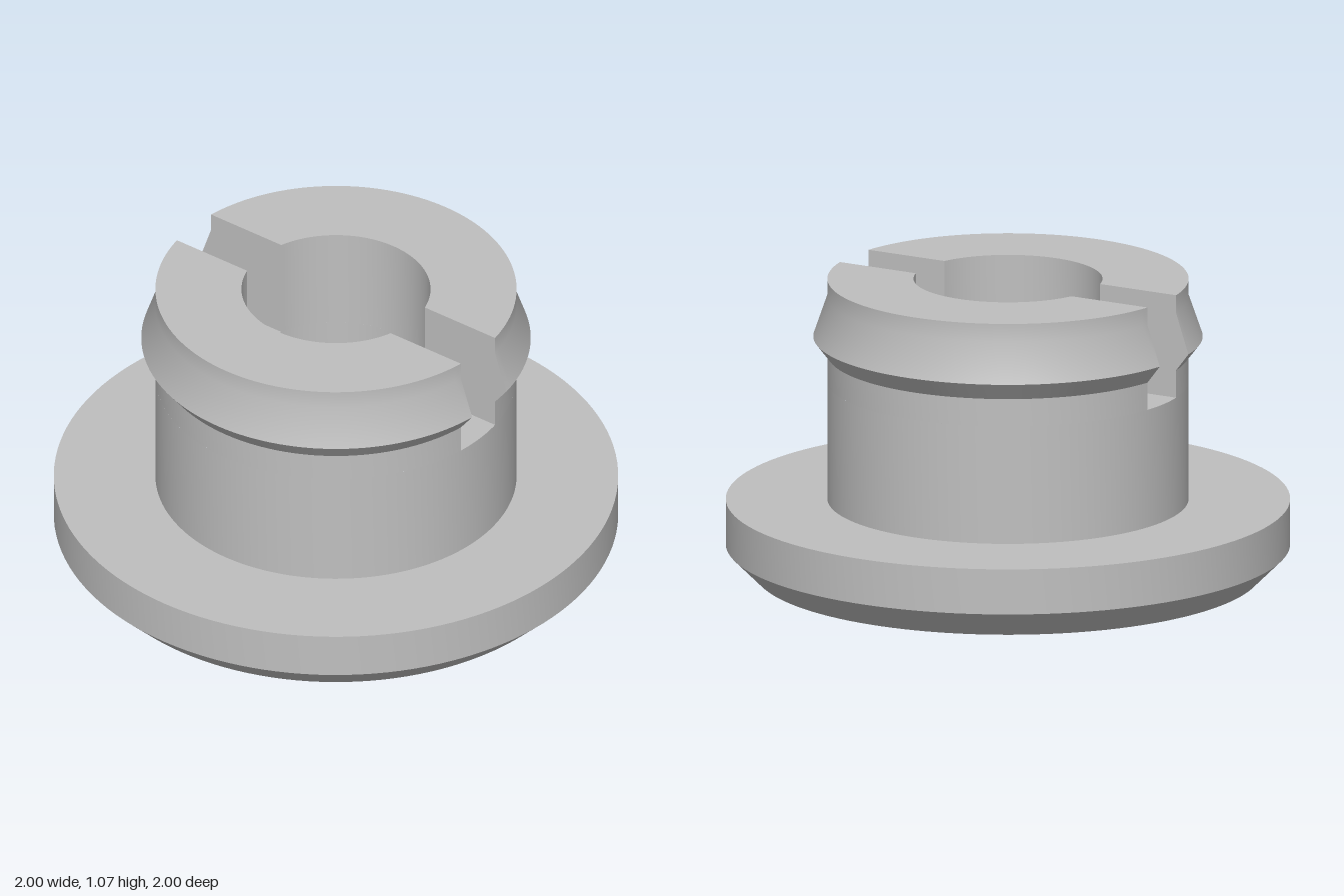
import * as THREE from 'three';
import { toCreasedNormals } from 'three/addons/utils/BufferGeometryUtils.js';

const BORE = 0.335, BODY = 0.64, SLOT = 0.1, FLOOR = 0.695, TOP = 1.07;
const CREASE = 0.6;

const points = (list) => list.map(([r, y]) => new THREE.Vector2(r, y));
// Distance along z at which a circle of radius r meets the slot wall
const wallZ = (r) => Math.sqrt(r * r - SLOT * SLOT);

export function createModel() {
  const grey = new THREE.MeshStandardMaterial({ color: 0xbfbfbf });
  grey.name = 'grey';
  const model = new THREE.Group();
  model.name = 'slottedBushing';

  const add = (parent, name, geometry) => {
    const mesh = new THREE.Mesh(geometry, grey);
    mesh.name = name;
    parent.add(mesh);
  };

  // Chamfered flange, countersunk bore and lower body, up to the slot floor
  const base = new THREE.LatheGeometry(points([
    [BORE, FLOOR], [BORE, 0.14], [0.475, 0], [0.9, 0], [1, 0.1],
    [1, 0.265], [BODY, 0.265], [BODY, FLOOR],
  ]), 128);
  add(model, 'flangeAndBody', toCreasedNormals(base, CREASE));

  // Snap jaw: half a turned ring, its ends pulled back to the slot walls
  const jawProfile = points([
    [BODY, FLOOR], [BODY, 0.795], [0.69, 0.86], [BODY, 1.005],
    [BODY, TOP], [BORE, TOP], [BORE, FLOOR],
  ]);
  const jaw = new THREE.LatheGeometry(jawProfile, 64, 0, Math.PI);
  const pos = jaw.attributes.position;
  for (let i = 0; i < pos.count; i++) {
    const x = pos.getX(i), z = pos.getZ(i);
    const r = Math.hypot(x, z);
    const start = Math.asin(SLOT / r);
    const angle = start + Math.atan2(x, z) / Math.PI * (Math.PI - 2 * start);
    pos.setXYZ(i, r * Math.sin(angle), pos.getY(i), r * Math.cos(angle));
  }
  const jawGeometry = toCreasedNormals(jaw, CREASE);

  // Flat slot walls closing both ends of a jaw
  const walls = [1, -1].map((side) => {
    const shape = new THREE.Shape(jawProfile.map((p) => new THREE.Vector2(side * wallZ(p.x), p.y)));
    return new THREE.ShapeGeometry(shape).rotateY(-Math.PI / 2).translate(SLOT, 0, 0);
  });

  // Slot floor between the jaws, curved at bore and outer wall
  const a = Math.asin(SLOT / BODY), b = Math.asin(SLOT / BORE);
  const floorShape = new THREE.Shape();
  floorShape.absarc(0, 0, BODY, Math.PI / 2 - a, Math.PI / 2 + a, false);
  floorShape.absarc(0, 0, BORE, Math.PI / 2 + b, Math.PI / 2 - b, true);
  const floorGeometry = new THREE.ShapeGeometry(floorShape, 12)
    .rotateX(-Math.PI / 2).translate(0, FLOOR, 0);

  // Each half turn repeats the jaw, its walls and one slot floor
  ['left', 'right'].forEach((side, i) => {
    const half = new THREE.Group();
    half.name = side + 'Half';
    half.rotation.y = i * Math.PI;
    add(half, side + 'Jaw', jawGeometry);
    walls.forEach((wall) => add(half, side + 'SlotWall', wall));
    add(half, 'slotFloor', floorGeometry);
    model.add(half);
  });

  return model;
}
